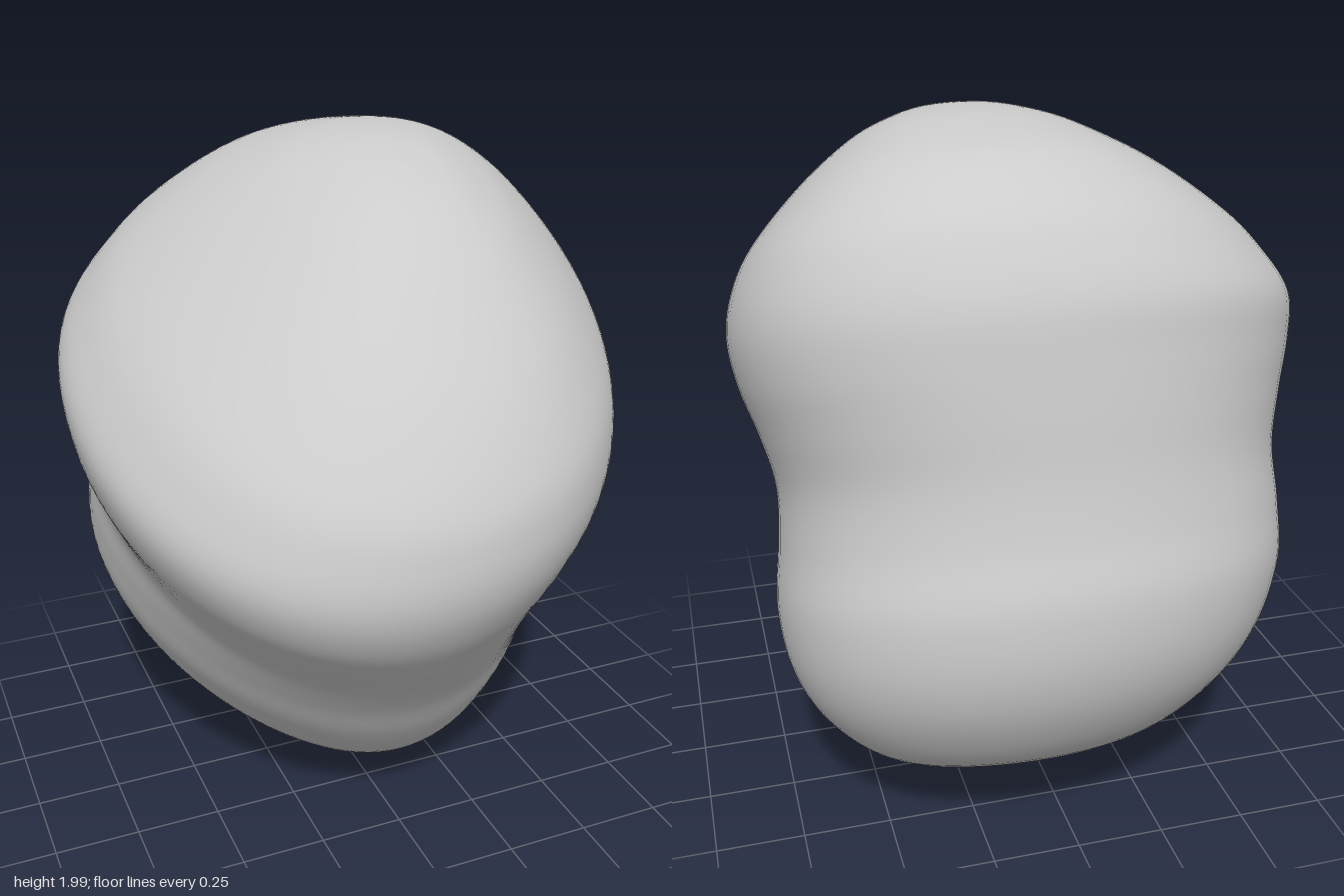
import * as THREE from 'three';

// Cross-sections stacked along a forward-leaning axis, bottom to top:
// [height, centre depth, half depth, centre x, half width, skew]
const SECTIONS = [
  [-0.987, 0.03, 0, 0.09, 0, -0.01],
  [-0.980, 0.03, 0.13, 0.09, 0.125, -0.01],
  [-0.96, 0.015, 0.25, 0.09, 0.24, -0.01],
  [-0.88, -0.04, 0.455, 0.09, 0.425, -0.01],
  [-0.75, -0.06, 0.625, 0.08, 0.57, -0.01],
  [-0.60, -0.07, 0.735, 0.06, 0.665, -0.02],
  [-0.42, -0.07, 0.80, 0.035, 0.715, -0.03],
  [-0.25, -0.055, 0.825, 0.015, 0.715, -0.04],
  [-0.09, -0.04, 0.86, 0.005, 0.712, -0.06],
  [0.06, -0.03, 0.90, -0.005, 0.75, -0.09],
  [0.20, -0.022, 0.933, -0.01, 0.795, -0.11],
  [0.33, -0.028, 0.945, -0.005, 0.81, -0.11],
  [0.45, -0.04, 0.918, 0.02, 0.765, -0.11],
  [0.57, -0.062, 0.853, 0.045, 0.68, -0.11],
  [0.72, -0.105, 0.69, 0.08, 0.515, -0.10],
  [0.84, -0.13, 0.468, 0.105, 0.35, -0.10],
  [0.90, -0.135, 0.315, 0.115, 0.235, -0.10],
  [0.938, -0.135, 0.167, 0.12, 0.125, -0.10],
  [0.953, -0.135, 0, 0.12, 0, -0.10],
];
const RINGS = 108, SIDES = 96;
const LEAN_COS = 0.94, LEAN_SIN = 0.34;

// Smooth curve through three columns of the section table
const columns = (c) => new THREE.CatmullRomCurve3(
  SECTIONS.map((r) => new THREE.Vector3(r[c], r[c + 1], r[c + 2])), false, 'catmullrom', 0.5);

function bodyGeometry() {
  const depthCurve = columns(0), widthCurve = columns(3);
  const positions = [], index = [];

  const addPoint = (u, angle) => {
    const d = depthCurve.getPoint(u), w = widthCurve.getPoint(u);
    // the upper lobe is slightly squarer in plan
    const square = 1 + (0.02 + 0.03 * d.x) * Math.sin(2 * angle) ** 2;
    const forward = d.z * Math.cos(angle) * square;
    const t = d.y + forward;
    // egg-shaped section: wide at the back, more so in the lower lobe
    const egg = 1 - (0.15 - 0.09 * d.x) * Math.cos(angle);
    const x = w.x + w.y * Math.sin(angle) * egg * square + w.z * forward;
    // lean the section plane: front edge low, back edge high
    positions.push(x, 1 + LEAN_COS * d.x - LEAN_SIN * t, LEAN_SIN * d.x + LEAN_COS * t);
  };

  // bottom pole, rings, top pole
  addPoint(0, 0);
  for (let i = 1; i < RINGS; i++)
    for (let j = 0; j < SIDES; j++) addPoint(i / RINGS, (j / SIDES) * Math.PI * 2);
  addPoint(1, 0);

  const at = (i, j) => 1 + (i - 1) * SIDES + (j % SIDES);
  const top = positions.length / 3 - 1;
  for (let j = 0; j < SIDES; j++) {
    index.push(0, at(1, j + 1), at(1, j));
    for (let i = 1; i < RINGS - 1; i++) {
      const a = at(i, j), b = at(i, j + 1), c = at(i + 1, j + 1), d = at(i + 1, j);
      index.push(a, b, c, a, c, d);
    }
    index.push(at(RINGS - 1, j), at(RINGS - 1, j + 1), top);
  }

  const geometry = new THREE.BufferGeometry();
  geometry.setAttribute('position', new THREE.Float32BufferAttribute(positions, 3));
  geometry.setIndex(index);
  geometry.computeVertexNormals();
  return geometry;
}

export function createModel() {
  const group = new THREE.Group();
  group.name = 'pebble';
  const body = new THREE.Mesh(bodyGeometry(), new THREE.MeshStandardMaterial({ color: 0xcccccc }));
  body.name = 'twoLobedBody';
  group.add(body);
  return group;
}
